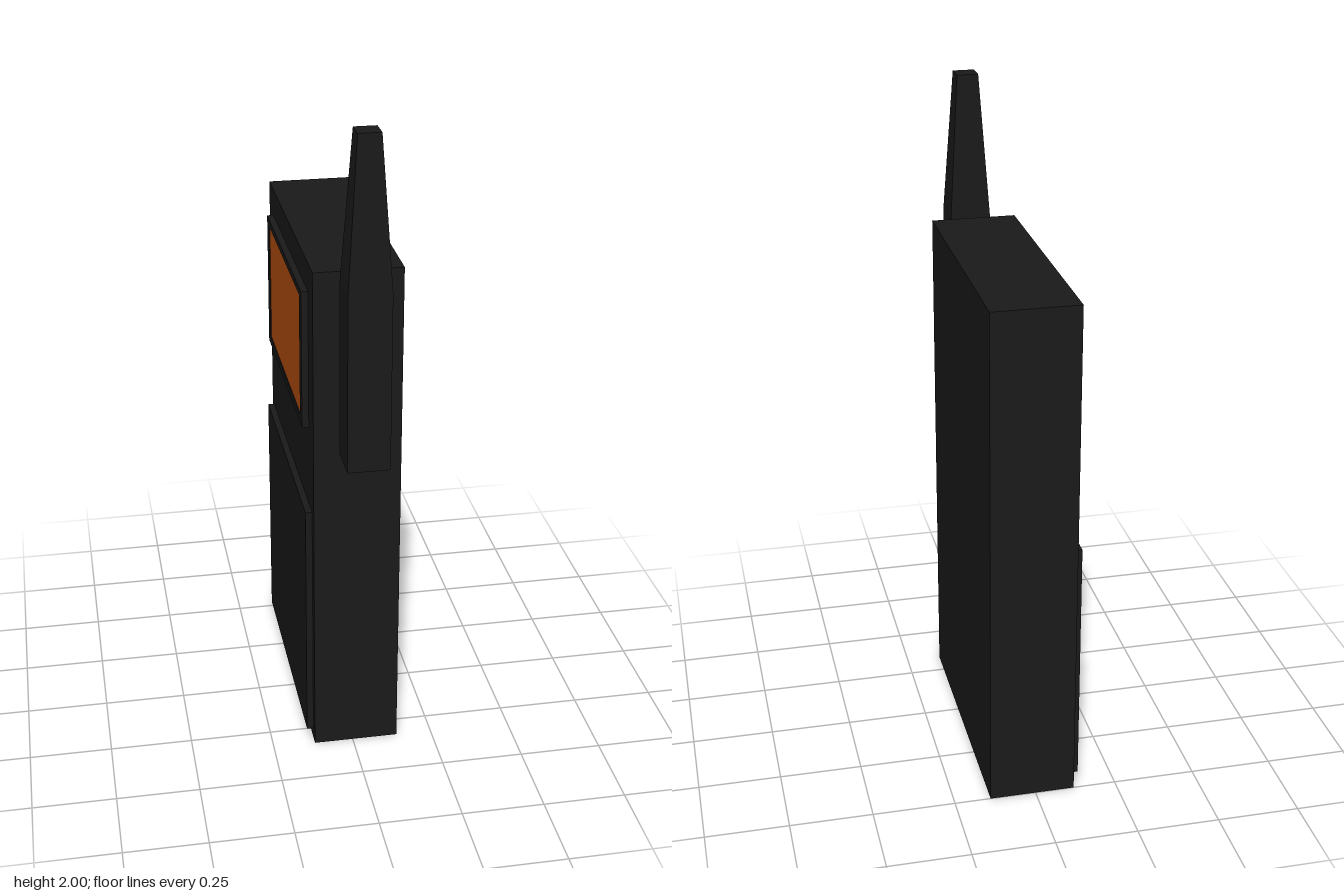
import * as THREE from 'three';

export function createModel() {
  const model = new THREE.Group();
  model.name = 'handheldRadio';
  const black = new THREE.MeshStandardMaterial({ color: 0x1a1a1a, flatShading: true });
  const orange = new THREE.MeshStandardMaterial({ color: 0xb85010, flatShading: true });

  // Box given by its min and max on each axis
  function box(name, [x0, x1], [y0, y1], [z0, z1], material = black) {
    const mesh = new THREE.Mesh(new THREE.BoxGeometry(x1 - x0, y1 - y0, z1 - z0, 1, 2, 1), material);
    mesh.position.set((x0 + x1) / 2, (y0 + y1) / 2, (z0 + z1) / 2);
    mesh.name = name;
    model.add(mesh);
    return mesh;
  }

  // Slab body
  box('body', [-0.12, 0.14], [0, 1.57], [-0.5, 0.33]);

  // Raised lower panel
  box('lowerPanel', [-0.14, -0.12], [0.035, 0.805], [-0.47, 0.3]);

  // Display: bezel frame around the lit screen
  const bezelY = [1.06, 1.485], bezelZ = [-0.42, 0.25];
  const screenY = [1.085, 1.463], screenZ = [-0.383, 0.213];
  const depth = [-0.14, -0.12];
  box('bezelBottom', depth, [bezelY[0], screenY[0]], bezelZ);
  box('bezelTop', depth, [screenY[1], bezelY[1]], bezelZ);
  box('bezelBack', depth, screenY, [bezelZ[0], screenZ[0]]);
  box('bezelFront', depth, screenY, [screenZ[1], bezelZ[1]]);
  box('screen', [-0.137, -0.12], screenY, screenZ, orange);

  // Mount joining the antenna to the body
  box('antennaMount', [-0.028, 0.047], [1.065, 1.52], [0.33, 0.375]);

  // Square antenna: straight below, tapering from the middle row up
  const antenna = box('antenna', [-0.052, 0.072], [1.03, 2], [0.375, 0.5]);
  const pos = antenna.geometry.attributes.position;
  for (let i = 0; i < pos.count; i++) {
    const y = pos.getY(i);
    if (Math.abs(y) < 0.01) pos.setY(i, 1.56 - antenna.position.y);
    else if (y > 0) {
      pos.setX(i, pos.getX(i) * 0.53);
      pos.setZ(i, pos.getZ(i) * 0.53);
    }
  }
  antenna.geometry.computeVertexNormals();

  return model;
}
